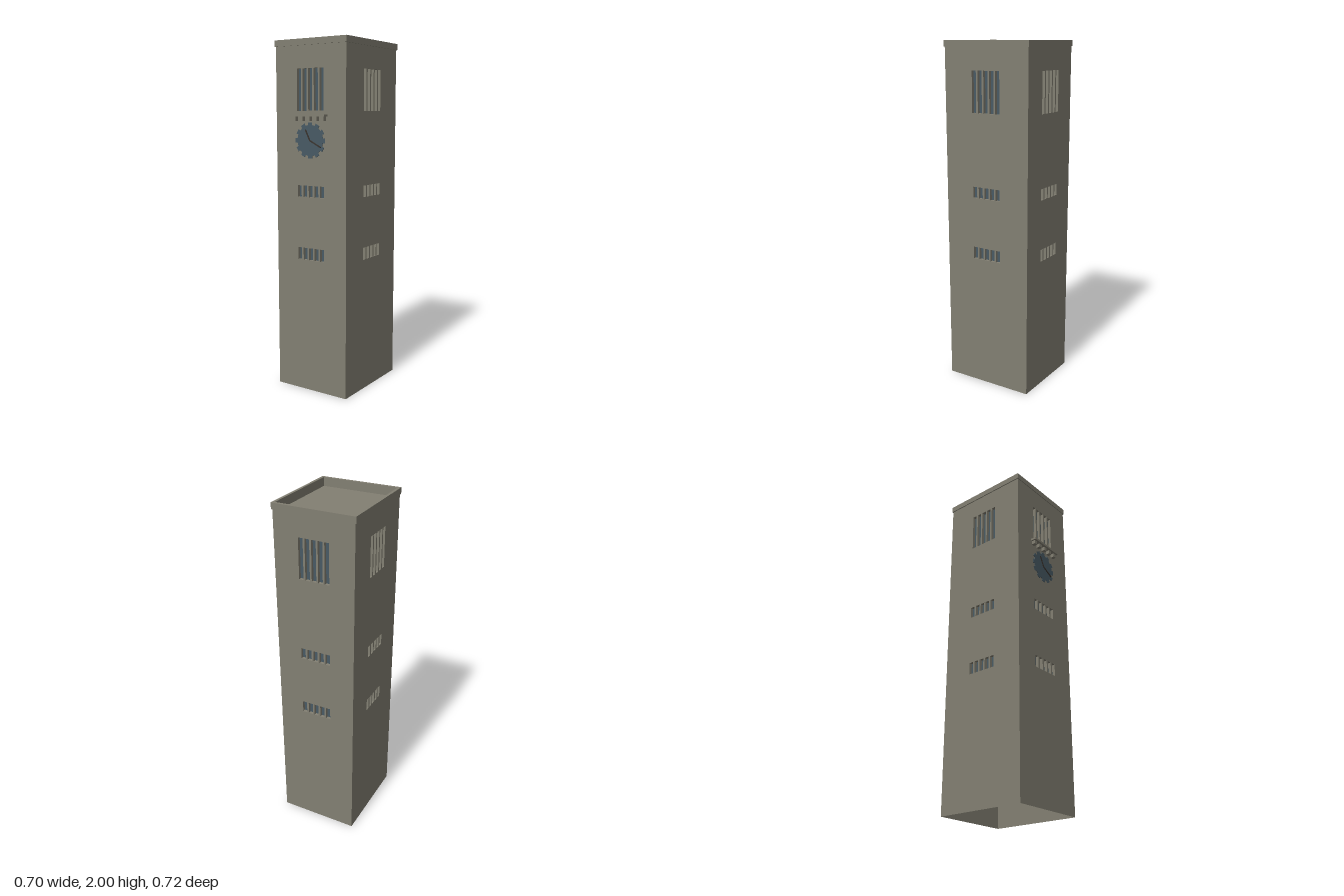
import * as THREE from 'three';

const W = 0.47, D = 0.54, H = 1.965;            // shaft
const SLOTS = 5, PITCH = 0.038, SLOT_W = 0.027, RECESS = 0.018;
const WINDOW_ROWS = [[0.77, 0.84], [1.13, 1.195], [1.61, 1.84]];

function material(name, color, side = THREE.FrontSide) {
  const m = new THREE.MeshStandardMaterial({ color, side });
  m.name = name;
  return m;
}

function rect(Type, x0, y0, x1, y1) {
  return new Type([[x0, y0], [x1, y0], [x1, y1], [x0, y1]].map(([x, y]) => new THREE.Vector2(x, y)));
}

export function createModel() {
  const concrete = material('concrete', 0x827f72, THREE.DoubleSide);
  const glass = material('blueGreyGlass', 0x485a64, THREE.DoubleSide);
  const dark = material('darkMetal', 0x3a342f);

  const tower = new THREE.Group();
  tower.name = 'clockTower';

  function add(parent, name, geometry, mat, x = 0, y = 0, z = 0) {
    const mesh = new THREE.Mesh(geometry, mat);
    mesh.name = name;
    mesh.position.set(x, y, z);
    parent.add(mesh);
    return mesh;
  }

  // Four walls, each with three rows of recessed slot windows; open underneath
  const panelW = SLOTS * PITCH;
  for (let i = 0; i < 4; i++) {
    const [width, dist] = i % 2 ? [D, W / 2] : [W, D / 2];
    const side = new THREE.Group();
    side.name = ['frontWall', 'leftWall', 'backWall', 'rightWall'][i];
    side.rotation.y = i * Math.PI / 2;
    tower.add(side);

    const wall = rect(THREE.Shape, -width / 2, 0, width / 2, H);
    for (const [y0, y1] of WINDOW_ROWS) {
      wall.holes.push(rect(THREE.Path, -panelW / 2, y0 - 0.01, panelW / 2, y1 + 0.01));
      // Slotted panel filling the wall opening
      const panel = rect(THREE.Shape, -panelW / 2, y0 - 0.01, panelW / 2, y1 + 0.01);
      for (let s = 0; s < SLOTS; s++) {
        const x = (s - (SLOTS - 1) / 2) * PITCH;
        panel.holes.push(rect(THREE.Path, x - SLOT_W / 2, y0, x + SLOT_W / 2, y1));
      }
      add(side, 'slotPanel', new THREE.ExtrudeGeometry(panel, { depth: RECESS, bevelEnabled: false }),
        concrete, 0, 0, dist - RECESS);
      add(side, 'windowGlass', new THREE.PlaneGeometry(panelW, y1 - y0 + 0.02),
        glass, 0, (y0 + y1) / 2, dist - RECESS - 0.001);
    }
    add(side, 'wall', new THREE.ShapeGeometry(wall), concrete, 0, 0, dist);
  }

  // Sunken roof and the parapet around it
  add(tower, 'roof', new THREE.BoxGeometry(W - 0.01, 0.006, D - 0.01), concrete, 0, 1.947, 0);
  const rim = rect(THREE.Shape, -0.2405, -0.2745, 0.2405, 0.2745);
  rim.holes.push(rect(THREE.Path, -0.2245, -0.2575, 0.2245, 0.2575));
  const parapet = add(tower, 'parapet',
    new THREE.ExtrudeGeometry(rim, { depth: 0.055, bevelEnabled: false }), concrete, 0, 2, 0);
  parapet.geometry.translate(0, 0, -0.055).rotateX(-Math.PI / 2);
  parapet.geometry.scale(1, 0.035 / 0.055, 1);
  // Inner lining from the roof up to the parapet
  for (const s of [-1, 1]) {
    add(tower, 'parapetLining', new THREE.BoxGeometry(0.009, 0.025, D - 0.004), concrete, s * 0.229, 1.957, 0);
    add(tower, 'parapetLining', new THREE.BoxGeometry(W - 0.004, 0.025, 0.009), concrete, 0, 1.957, s * 0.262);
  }

  // Ledge on brackets above the clock
  const front = D / 2;
  add(tower, 'ledge', new THREE.BoxGeometry(0.227, 0.013, 0.034), concrete, 0, 1.584, front + 0.016);
  for (let i = -2; i <= 2; i++) {
    add(tower, 'ledgeBracket', new THREE.BoxGeometry(0.022, 0.024, 0.024), concrete, i * 0.0475, 1.567, front + 0.011);
  }

  // Cog-edged clock face
  const clock = new THREE.Group();
  clock.name = 'clock';
  clock.position.set(0, 1.447, front);
  tower.add(clock);
  const cog = [];
  const TEETH = 12;
  for (let t = 0; t < TEETH; t++) {
    for (const [f, r] of [[-0.28, 0.086], [-0.25, 0.1], [0.25, 0.1], [0.28, 0.086]]) {
      const a = (t + f) / TEETH * Math.PI * 2;
      cog.push(new THREE.Vector2(Math.cos(a) * r, Math.sin(a) * r));
    }
  }
  add(clock, 'clockFace', new THREE.ExtrudeGeometry(new THREE.Shape(cog), { depth: 0.004, bevelEnabled: false }), glass);

  // Clock hands
  for (const [name, x, y] of [['hourHand', -0.03, 0.06], ['minuteHand', 0.073, -0.037]]) {
    const hand = add(clock, name, new THREE.BoxGeometry(Math.hypot(x, y), 0.007, 0.004), dark, x / 2, y / 2, 0.006);
    hand.rotation.z = Math.atan2(y, x);
  }

  // The tower stands turned on its plot
  tower.rotation.y = -0.542;
  const model = new THREE.Group();
  model.name = 'model';
  model.add(tower);
  return model;
}
